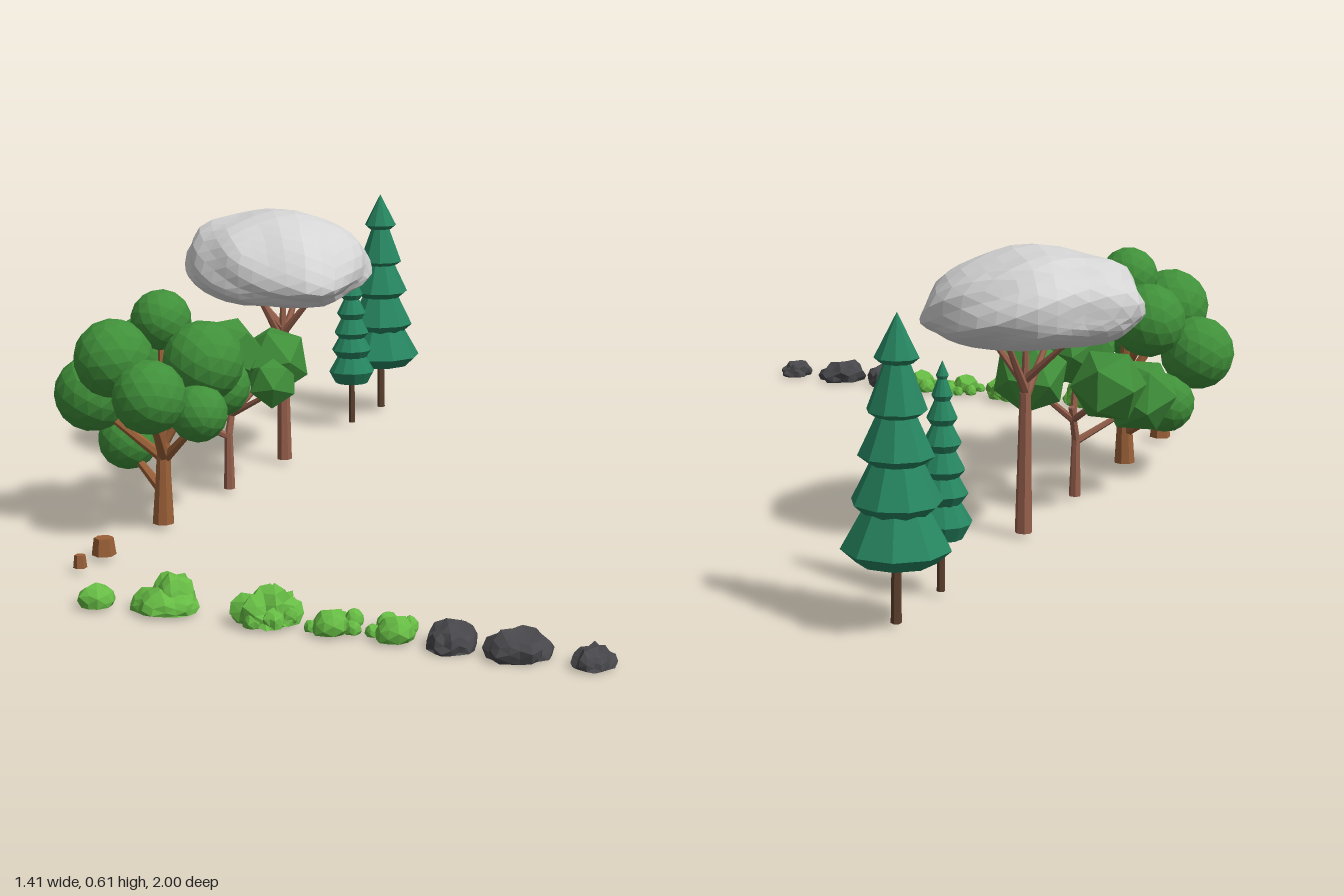
import * as THREE from 'three';

const mat = (name, color) => {
  const m = new THREE.MeshStandardMaterial({ color, flatShading: true });
  m.name = name;
  return m;
};

export function createModel() {
  const M = {
    leaf: mat('leaf green', 0x40903a),
    pine: mat('pine green', 0x268560),
    bush: mat('bush green', 0x66bb44),
    rock: mat('rock charcoal', 0x47474b),
    canopy: mat('pale canopy', 0xd4d4d4),
    bark: mat('warm bark', 0x9a6038),
    redBark: mat('reddish bark', 0x96604c),
    darkBark: mat('dark bark', 0x5c402e),
  };
  const root = new THREE.Group();
  const group = (name) => {
    const g = new THREE.Group();
    g.name = name;
    root.add(g);
    return g;
  };
  const add = (g, name, geo, m, x = 0, y = 0, z = 0) => {
    const mesh = new THREE.Mesh(geo, m);
    mesh.name = name;
    mesh.position.set(x, y, z);
    g.add(mesh);
    return mesh;
  };

  // Tapered limb between two points
  const limb = (g, name, a, b, r0, r1, m, sides = 7) => {
    const p = new THREE.Vector3(...a), q = new THREE.Vector3(...b);
    const d = q.clone().sub(p);
    const mesh = add(g, name, new THREE.CylinderGeometry(r1, r0, d.length(), sides), m);
    mesh.position.copy(p).addScaledVector(d, 0.5);
    mesh.quaternion.setFromUnitVectors(new THREE.Vector3(0, 1, 0), d.normalize());
  };
  const balls = (g, name, list, detail, m) => list.forEach(([x, y, z, r], i) => {
    const b = add(g, name, new THREE.IcosahedronGeometry(r, detail), m, x, y, z);
    b.rotation.set(i * 0.7, i * 1.3, i * 0.4);
  });
  // Faceted lump whose vertices are moved by a rule on their direction
  const lump = (detail, rule) => {
    const geo = new THREE.IcosahedronGeometry(1, detail);
    const p = geo.attributes.position, v = new THREE.Vector3();
    for (let i = 0; i < p.count; i++) {
      rule(v.fromBufferAttribute(p, i));
      p.setXYZ(i, v.x, v.y, v.z);
    }
    geo.computeVertexNormals();
    return geo;
  };

  // Pines: stacked skirts; each tier is [bottom, rim, top, rimRadius, topRadius]
  const pine = (name, z, sides, trunkR, tiers) => {
    const g = group(name);
    limb(g, 'trunk', [-0.45, 0.01, z], [-0.45, 0.2, z], trunkR, trunkR * 0.8, M.darkBark, 6);
    tiers.forEach(([b, rim, t, r, rt], i) => {
      const pts = [[0, b + 0.005], [r * 0.72, b], [r, rim], [r * 0.55 + rt * 0.45, rim + (t - rim) * 0.45], [rt, t]];
      const geo = new THREE.LatheGeometry(pts.map((p) => new THREE.Vector2(...p)), sides);
      add(g, 'tier', geo, M.pine, -0.45, 0, z).rotation.y = i * 0.35;
    });
  };
  pine('largePine', -0.905, 9, 0.01, [
    [0.125, 0.15, 0.25, 0.101, 0.045],
    [0.215, 0.235, 0.33, 0.083, 0.036],
    [0.305, 0.32, 0.41, 0.07, 0.028],
    [0.39, 0.4, 0.5, 0.055, 0.018],
    [0.485, 0.495, 0.575, 0.041, 0],
  ]);
  pine('smallPine', -0.7, 12, 0.008, [
    [0.115, 0.145, 0.2, 0.058, 0.026],
    [0.18, 0.2, 0.25, 0.05, 0.022],
    [0.23, 0.245, 0.295, 0.044, 0.018],
    [0.28, 0.295, 0.34, 0.037, 0.014],
    [0.33, 0.342, 0.385, 0.029, 0.01],
    [0.375, 0.385, 0.42, 0.02, 0.007],
    [0.415, 0.422, 0.45, 0.012, 0],
  ]);

  // Umbrella tree: lumpy canopy on a slim forked trunk
  const umbrella = group('umbrellaTree');
  const outline = [0.215, 0.235, 0.2, 0.205, 0.215, 0.19, 0.225, 0.23];
  add(umbrella, 'canopy', lump(5, (v) => {
    const a = ((Math.atan2(v.z, v.x) / (Math.PI / 4)) + 8) % 8;
    const i = Math.floor(a) % 8, f = a - Math.floor(a), s = f * f * (3 - 2 * f);
    const r = outline[i] * (1 - s) + outline[(i + 1) % 8] * s;
    const h = Math.hypot(v.x, v.z), ny = v.y;
    const k = h > 1e-4 ? Math.pow(h, 0.85) / h : 1;
    const w = 1 + 0.05 * Math.sin(v.x * 6 + v.y * 4) * Math.cos(v.z * 5 + v.y * 3);
    v.set(v.x * r * k * w, ny * (ny > 0 ? 0.135 : 0.07) * w, v.z * r * k * w);
    v.y -= v.z * 0.07 + v.x * 0.06;
  }), M.canopy, -0.475, 0.465, -0.275);
  const T = [-0.45, 0.3, -0.268];
  limb(umbrella, 'trunk', [-0.45, 0.01, -0.268], T, 0.018, 0.012, M.redBark);
  [[-0.45, 0.43, -0.27], [-0.47, 0.41, -0.18], [-0.44, 0.42, -0.35], [-0.36, 0.42, -0.26], [-0.55, 0.42, -0.29]]
    .forEach((p, i) => limb(umbrella, 'branch', i ? [T[0], 0.28 + i * 0.012, T[2]] : T, p, 0.01, 0.005, M.redBark, 6));

  // Angular tree with faceted leaf clumps
  const angular = group('angularTree');
  const clumps = [
    [-0.55, 0.28, -0.045, 0.082], [-0.385, 0.29, -0.068, 0.083], [-0.445, 0.33, 0.055, 0.08],
    [-0.33, 0.265, 0.065, 0.057], [-0.56, 0.225, 0.128, 0.085],
  ];
  balls(angular, 'leafClump', clumps, 0, M.leaf);
  limb(angular, 'trunk', [-0.45, 0.01, 0.042], [-0.45, 0.14, 0.042], 0.013, 0.009, M.redBark);
  limb(angular, 'upperTrunk', [-0.45, 0.135, 0.042], [-0.447, 0.21, 0.02], 0.009, 0.007, M.redBark);
  clumps.forEach(([x, y, z], i) =>
    limb(angular, 'branch', i === 4 ? [-0.45, 0.13, 0.042] : [-0.447, 0.18, 0.03], [x, y - 0.02, z], 0.008, 0.005, M.redBark, 6));

  // Round tree with large leaf balls
  const round = group('roundTree');
  const crowns = [
    [-0.62, 0.28, 0.36, 0.082], [-0.54, 0.37, 0.41, 0.085], [-0.465, 0.445, 0.335, 0.065],
    [-0.42, 0.31, 0.485, 0.078], [-0.368, 0.362, 0.335, 0.087], [-0.39, 0.285, 0.215, 0.069],
    [-0.35, 0.265, 0.4, 0.062], [-0.565, 0.172, 0.305, 0.066], [-0.53, 0.36, 0.28, 0.082],
  ];
  balls(round, 'leafBall', crowns, 2, M.leaf);
  limb(round, 'trunk', [-0.455, 0.01, 0.365], [-0.452, 0.13, 0.365], 0.024, 0.016, M.bark, 8);
  limb(round, 'upperTrunk', [-0.452, 0.125, 0.365], [-0.45, 0.25, 0.36], 0.017, 0.011, M.bark, 8);
  crowns.forEach(([x, y, z], i) =>
    limb(round, 'branch', i === 7 ? [-0.455, 0.08, 0.365] : [-0.45, 0.15 + (i % 3) * 0.035, 0.363], [x, y - 0.02, z], 0.012, 0.007, M.bark, 6));

  // Stumps
  const stumps = group('stumps');
  limb(stumps, 'largeStump', [-0.455, 0.01, 0.632], [-0.455, 0.046, 0.632], 0.025, 0.02, M.bark, 6);
  limb(stumps, 'smallStump', [-0.455, 0.01, 0.732], [-0.455, 0.036, 0.732], 0.014, 0.011, M.bark, 6);

  // Low mounds with a flat underside; rough sets how jagged they are
  const mound = (g, name, m, x, z, rx, rz, h, rough, seed, detail = 2) =>
    add(g, name, lump(detail, (v) => {
      const w = 1 + rough * Math.sin(v.x * 5 + seed) * Math.cos(v.z * 5 - seed * 2 + v.y * 3);
      const y = v.y > -0.3 ? (v.y + 0.3) / 1.3 : 0;
      v.set(v.x * rx * w, y * h * w, v.z * rz * w);
    }), m, x, 0.005, z);

  const bushes = group('bushes');
  mound(bushes, 'smallBush', M.bush, -0.312, 0.93, 0.036, 0.036, 0.042, 0.1, 1, 1);
  mound(bushes, 'wideBush', M.bush, -0.175, 0.915, 0.066, 0.052, 0.042, 0.15, 2);
  mound(bushes, 'wideBushTop', M.bush, -0.168, 0.895, 0.044, 0.044, 0.068, 0.12, 4);
  mound(bushes, 'spikyBush', M.bush, 0.032, 0.908, 0.055, 0.056, 0.06, 0.32, 3);
  for (let i = 0; i < 7; i++) {
    const a = i * 0.9;
    mound(bushes, 'spikyBushLobe', M.bush, 0.032 + Math.cos(a) * 0.043, 0.908 + Math.sin(a) * 0.045, 0.02, 0.02, 0.035, 0.2, i, 1);
  }
  // Main ball with satellites: [x, z, radius, height]
  [[0.168, 0.932, 0.036, 0.042], [0.137, 0.888, 0.015, 0.025], [0.19, 0.875, 0.019, 0.03], [0.165, 0.87, 0.012, 0.022],
    [0.13, 0.937, 0.013, 0.02], [0.208, 0.925, 0.016, 0.025],
    [0.293, 0.932, 0.037, 0.042], [0.258, 0.878, 0.022, 0.033], [0.3, 0.877, 0.017, 0.028], [0.248, 0.925, 0.015, 0.022]]
    .forEach(([x, z, r, h], i) => mound(bushes, 'clusterBush', M.bush, x, z, r, r, h, 0.1, i, 1));

  const rocks = group('rocks');
  [[0.4, 0.93, 0.046, 0.052, 0.05, 1.6], [0.527, 0.935, 0.055, 0.056, 0.05, 0.5], [0.665, 0.937, 0.035, 0.044, 0.036, 2.6]]
    .forEach(([x, z, rx, rz, h, s]) => mound(rocks, 'rock', M.rock, x, z, rx, rz, h, 0.2, s).position.y = 0);

  return root;
}
